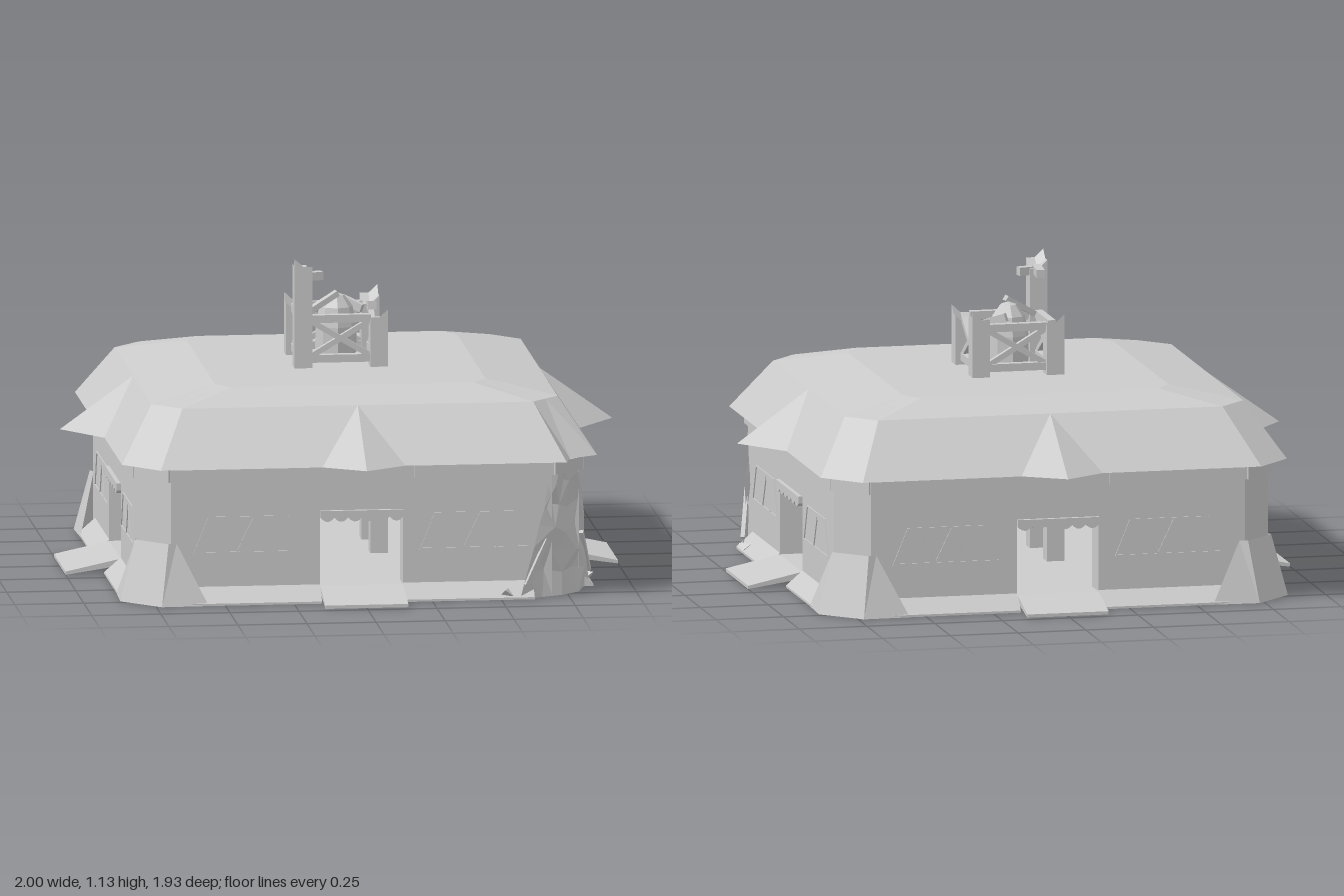
import * as THREE from 'three';

const grey = new THREE.MeshStandardMaterial({ color: 0xcccccc, flatShading: true, side: THREE.DoubleSide });

function add(parent, name, geometry, x = 0, y = 0, z = 0) {
  const mesh = new THREE.Mesh(geometry, grey);
  mesh.name = name;
  mesh.position.set(x, y, z);
  parent.add(mesh);
  return mesh;
}

function box(parent, name, w, h, d, x, y, z) {
  return add(parent, name, new THREE.BoxGeometry(w, h, d), x, y, z);
}

// Bar between two points, of width t and height u
function bar(parent, name, a, b, t = 0.02, u = t) {
  const from = new THREE.Vector3(...a), to = new THREE.Vector3(...b);
  const mesh = add(parent, name, new THREE.BoxGeometry(t, u, from.distanceTo(to)));
  mesh.position.copy(from).lerp(to, 0.5);
  mesh.quaternion.setFromRotationMatrix(new THREE.Matrix4().lookAt(to, from, new THREE.Vector3(0, 1, 0)));
}

function shapeOf(points) {
  return new THREE.Shape(points.map(p => new THREE.Vector2(...p)));
}

function extrude(shape, depth) {
  return new THREE.ExtrudeGeometry(shape, { depth, bevelEnabled: false, curveSegments: 6 });
}

const gap = (p, q) => Math.hypot(p[0] - q[0], p[1] - q[1], p[2] - q[2]);

// Joins rings of points listed bottom to top, running from +x towards +z
function loft(rings, closed = true) {
  const out = [], n = rings[0].length;
  for (let r = 0; r + 1 < rings.length; r++) {
    for (let i = 0; i < (closed ? n : n - 1); i++) {
      const j = (i + 1) % n, [lo, hi] = [rings[r], rings[r + 1]];
      // Split each quad along its shorter diagonal
      if (gap(hi[i], lo[j]) < gap(lo[i], hi[j])) out.push(lo[i], hi[i], lo[j], lo[j], hi[i], hi[j]);
      else out.push(lo[i], hi[i], hi[j], lo[i], hi[j], lo[j]);
    }
  }
  if (closed) {
    const bottom = rings[0], top = rings[rings.length - 1];
    for (let i = 0; i < n; i++) {
      const j = (i + 1) % n;
      out.push([0, bottom[0][1], 0], bottom[i], bottom[j], [0, top[0][1], 0], top[j], top[i]);
    }
  }
  const g = new THREE.BufferGeometry();
  g.setAttribute('position', new THREE.Float32BufferAttribute(out.flat(), 3));
  g.computeVertexNormals();
  return g;
}

// Roof outline: chamfered rectangle with a point over every doorway
function roofRing(y, hx, hz, cx, cz, peakX, peakZ, notch) {
  const quarter = [[peakX, 0], [hx, 0.19], [hx, cz], [(hx + cx) / 2, (hz + cz) / 2], [cx, hz], [0.15, hz], [0, peakZ]];
  const ring = [];
  [[1, 1], [-1, 1], [-1, -1], [1, -1]].forEach(([sx, sz], q) => {
    const pts = quarter.map(([x, z]) => [x * sx, y, z * sz]);
    if (q === 0 && notch) pts[3] = [0.755, y, 0.795];
    if (q % 2) pts.reverse();
    ring.push(...pts.slice(0, -1));
  });
  return ring;
}

function buildRoof(parent) {
  add(parent, 'roof', loft([
    roofRing(0.5, 0.86, 0.87, 0.735, 0.735, 1, 0.965, true),
    roofRing(0.69, 0.735, 0.68, 0.635, 0.575, 0.735, 0.68),
    roofRing(0.735, 0.49, 0.52, 0.44, 0.44, 0.49, 0.52)
  ]));
}

// Wall with doorway, trim, windows, skirt and ramp, facing +z
function buildSide(parent, w, reach) {
  add(parent, 'wall', extrude(shapeOf([[-0.69, 0], [-w, 0], [-w, 0.33], [w, 0.33], [w, 0],
    [0.69, 0], [0.69, 0.5], [-0.69, 0.5]]), 0.1), 0, 0, 0.7);

  // Scalloped valance in the doorway
  const valance = new THREE.Shape();
  valance.moveTo(-w, 0.33);
  valance.lineTo(-w, 0.305);
  const n = 6, step = 2 * w / n;
  for (let i = 0; i < n; i++) {
    const x = -w + i * step;
    valance.quadraticCurveTo(x + step / 2, 0.275, x + step, 0.305);
  }
  valance.lineTo(w, 0.33);
  add(parent, 'doorValance', extrude(valance, 0.025), 0, 0, 0.79);

  // Sloping ramp
  const ramp = add(parent, 'ramp', extrude(shapeOf([[0.7, 0.035], [0.8, 0.03], [reach, 0], [reach, 0.012], [0.8, 0.055], [0.7, 0.055]]), 2 * w));
  ramp.rotation.y = -Math.PI / 2;
  ramp.position.x = w;

  for (const s of [-1, 1]) {
    const edge = w + 0.04;
    box(parent, 'trimBand', 0.695 - edge, 0.045, 0.03, s * (0.695 + edge) / 2, 0.467, 0.8);

    // Sloping skirt at the wall foot
    const skirt = add(parent, 'skirt', extrude(shapeOf([[0.78, 0], [0.86, 0], [0.86, 0.008], [0.8, 0.06], [0.78, 0.06]]), 0.62 - w));
    skirt.rotation.y = -Math.PI / 2;
    skirt.position.x = s > 0 ? 0.62 : -w;

    // Trapezoid window frame with slanting bars
    const win = new THREE.Group();
    win.name = 'window';
    win.position.set(s * 0.41, 0, 0.8);
    parent.add(win);
    const frame = shapeOf([[-0.2, 0.18], [0.2, 0.18], [0.145, 0.315], [-0.145, 0.315]]);
    frame.holes.push(new THREE.Path([[-0.19, 0.186], [-0.14, 0.309], [0.14, 0.309], [0.19, 0.186]].map(p => new THREE.Vector2(...p))));
    add(win, 'windowFrame', extrude(frame, 0.004));
    const zigzag = [[-0.1, 0.31], [-0.04, 0.185], [0.02, 0.31], [0.08, 0.185]];
    for (let i = 0; i < 3; i++) bar(win, 'windowBar', [...zigzag[i], 0], [...zigzag[i + 1], 0], 0.008, 0.006);
  }
}

// Chamfered corner wall and flared buttress at +x +z
function buildCorner(parent) {
  for (const wall of [[[0.8, 0.69], [0.69, 0.8]], [[0.7, 0.65], [0.65, 0.7]]]) {
    add(parent, 'cornerWall', loft([0, 0.5].map(y => wall.map(([x, z]) => [x, y, z])), false));
  }
  const low = [[0.86, 0.56], [0.865, 0.73], [0.73, 0.865], [0.56, 0.86]];
  const high = [[0.8, 0.67], [0.81, 0.7], [0.7, 0.81], [0.67, 0.8]];
  add(parent, 'buttress', loft([low.map(([x, z]) => [x, 0, z]), high.map(([x, z]) => [x, 0.22, z])], false));
}

// Shattered corner: a jagged sheet flaring towards the ground, with fragments
function buildBrokenCorner(parent) {
  let seed = 11;
  const rand = () => (seed = (seed * 16807) % 2147483647) / 2147483647 - 0.5;
  const cols = 5, rows = 6, rings = [];
  for (let r = 0; r <= rows; r++) {
    const t = r / rows, flare = (1 - t) ** 1.3, ring = [];
    for (let c = 0; c <= cols; c++) {
      const u = c / cols, bulge = Math.sin(u * Math.PI) * 0.045 * flare;
      const near = 0.69 - 0.12 * flare, far = 0.795 + 0.06 * flare;
      const loose = c % cols === 0 ? 0.01 : 0.03;
      ring.push([far + (near - far) * u + bulge + rand() * loose,
        r ? t * 0.5 + rand() * 0.045 : 0,
        near + (far - near) * u + bulge + rand() * loose]);
    }
    rings.push(ring);
  }
  add(parent, 'shatteredWall', loft(rings, false));
  // Leaning remains of the buttress edges and rubble on the ground
  bar(parent, 'leaningShard', [0.81, 0.21, 0.67], [0.85, 0.05, 0.56], 0.015);
  bar(parent, 'leaningShard', [0.67, 0.21, 0.81], [0.59, 0.05, 0.85], 0.015);
  for (let i = 0; i < 7; i++) {
    const u = i / 6, x = 0.85 - 0.33 * u, z = 0.52 + 0.33 * u;
    const rubble = add(parent, 'rubble', new THREE.TetrahedronGeometry(0.03), x, 0.025, z);
    rubble.rotation.y = rand() * 6;
    rubble.scale.y = 0.7;
  }
}

// Timber tower standing on the floor and rising through the roof
function buildTower(parent) {
  const p = 0.137;
  for (const [x, z, h] of [[-p, p, 1.1], [p, p, 0.91], [p, -p, 0.94], [-p, -p, 0.92]]) {
    const g = new THREE.BoxGeometry(0.064, h, 0.064, 2, 1, 2), pos = g.attributes.position;
    for (let i = 0; i < pos.count; i++) {
      const px = pos.getX(i), pz = pos.getZ(i);
      if (pos.getY(i) > 0) pos.setY(i, h / 2 + (px * x > 0 ? 0.02 : -0.01) + (pz * z > 0 ? 0.015 : -0.015));
    }
    add(parent, 'towerPost', g, x, h / 2, z);
  }
  for (let k = 0; k < 4; k++) {
    const side = new THREE.Group();
    side.name = 'towerBracing';
    side.rotation.y = k * Math.PI / 2;
    parent.add(side);
    const beams = [0.03, 0.225, 0.315, 0.765];
    if (k !== 1) beams.push(0.91);
    for (const y of beams) box(side, 'towerBeam', 0.22, 0.028, 0.028, 0, y, p);
    for (const s of [-1, 1]) {
      bar(side, 'crossBrace', [-0.105 * s, 0.775, p], [0.105 * s, 0.9, p], 0.02);
      bar(side, 'lowerBrace', [s * 0.105, 0.235, p], [0, 0.305, p], 0.02);
    }
  }
  // Snapped timbers
  bar(parent, 'snappedBeam', [-p, 1.07, p], [-0.125, 1.07, 0.02], 0.03);
  bar(parent, 'snappedBeam', [-p, 1.065, p], [-0.065, 1.065, 0.12], 0.03);
  bar(parent, 'snappedBeam', [p, 0.91, -0.11], [p, 0.92, -0.05], 0.03);
  bar(parent, 'fallenTimber', [-0.11, 0.92, 0.06], [0, 0.985, 0.04], 0.03, 0.02);
  bar(parent, 'fallenTimber', [0.03, 0.94, -0.1], [0.1, 0.91, -0.05], 0.02, 0.03);

  const profile = [[0.075, 0.76], [0.074, 0.86], [0.06, 0.93], [0.03, 0.97], [0, 0.98]];
  add(parent, 'bell', new THREE.LatheGeometry(profile.map(q => new THREE.Vector2(...q)), 8), 0, 0, -0.005);
}

export function createModel() {
  const model = new THREE.Group();
  model.name = 'damagedHall';
  buildRoof(model);

  // Floor slab raised slightly above the wall feet
  const f = [[0.72, -0.63], [0.72, 0.63], [0.63, 0.72], [-0.63, 0.72], [-0.72, 0.63], [-0.72, -0.63], [-0.63, -0.72], [0.63, -0.72]];
  add(model, 'floor', loft([0.03, 0.054].map(y => f.map(([x, z]) => [x, y, z]))));

  for (let k = 0; k < 4; k++) {
    const side = new THREE.Group();
    side.name = 'side';
    side.rotation.y = k * Math.PI / 2;
    model.add(side);
    buildSide(side, k % 2 ? 0.18 : 0.15, k % 2 ? 1 : 0.965);
    const band = box(side, 'cornerTrim', 0.16, 0.045, 0.03, 0.746, 0.467, 0.746);
    band.rotation.y = Math.PI / 4;
    if (k === 0) buildBrokenCorner(side);
    else buildCorner(side);
  }
  buildTower(model);
  return model;
}
